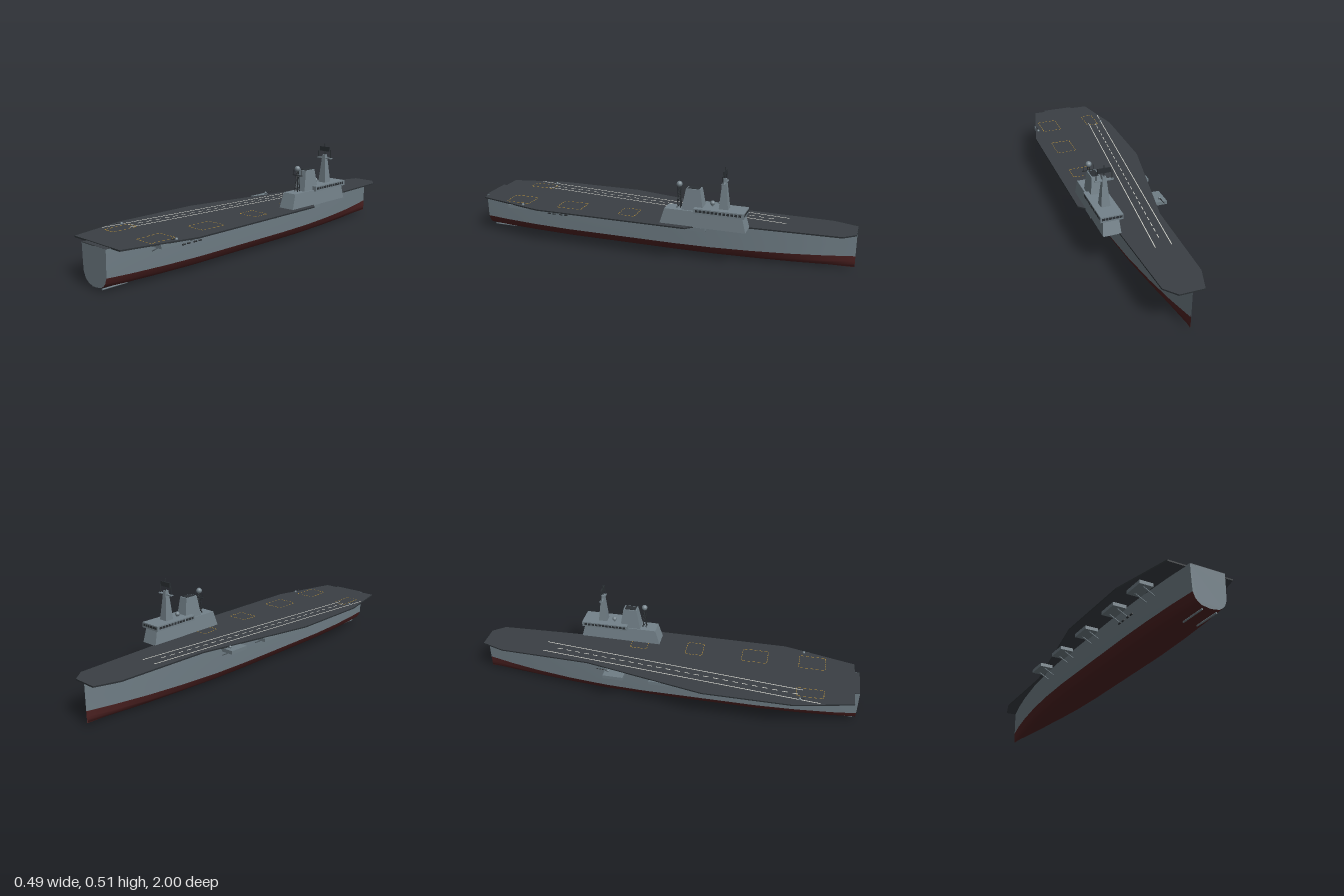
import * as THREE from 'three';

const mat = (name, color, side = THREE.FrontSide) => {
  const m = new THREE.MeshStandardMaterial({ color, side });
  m.name = name;
  return m;
};

export function createModel() {
  const ship = new THREE.Group();
  ship.name = 'carrierShip';
  const grey = mat('hullGrey', 0x6f7d85, THREE.DoubleSide);
  const red = mat('antifoulingRed', 0x4e2222, THREE.DoubleSide);
  const deckMat = mat('deckGrey', 0x3a3f44);
  const tower = mat('islandGrey', 0x74828a);
  const dark = mat('darkFittings', 0x2b3034);
  const white = mat('whitePaint', 0xd8d8d0);
  const yellow = mat('yellowPaint', 0xb8903a);

  const add = (name, geo, m, parent = ship) => {
    const mesh = new THREE.Mesh(geo, m);
    mesh.name = name;
    parent.add(mesh);
    return mesh;
  };
  const box = (name, m, x0, x1, y0, y1, z0, z1, parent) => {
    const g = new THREE.BoxGeometry(x1 - x0, y1 - y0, z1 - z0);
    g.translate((x0 + x1) / 2, (y0 + y1) / 2, (z0 + z1) / 2);
    return add(name, g, m, parent);
  };
  // Box whose top rectangle differs from its bottom; rectangles are [x0, x1, z0, z1]
  const taper = (name, m, y0, y1, b, t, parent) => {
    const g = new THREE.BoxGeometry(1, 1, 1).toNonIndexed();
    const p = g.attributes.position;
    for (let i = 0; i < p.count; i++) {
      const up = p.getY(i) > 0, r = up ? t : b;
      p.setXYZ(i, p.getX(i) < 0 ? r[0] : r[1], up ? y1 : y0, p.getZ(i) < 0 ? r[2] : r[3]);
    }
    g.computeVertexNormals();
    return add(name, g, m, parent);
  };
  const rod = (name, m, a, b, r, parent) => {
    const A = new THREE.Vector3(...a), d = new THREE.Vector3(...b).sub(A);
    const mesh = add(name, new THREE.CylinderGeometry(r, r, d.length(), 8), m, parent);
    mesh.position.copy(A).addScaledVector(d, 0.5);
    mesh.quaternion.setFromUnitVectors(new THREE.Vector3(0, 1, 0), d.normalize());
    return mesh;
  };
  const ball = (name, m, x, y, z, r, parent) =>
    add(name, new THREE.SphereGeometry(r, 16, 12), m, parent).position.set(x, y, z);

  // Hull: stations of [z, half breadth, keel rise]
  const stations = [[1, 0.088, 0.011], [0.88, 0.102, 0.007], [0.7, 0.115, 0.003], [0.5, 0.122, 0], [0.2, 0.122, 0],
    [-0.1, 0.122, 0], [-0.3, 0.114, 0], [-0.5, 0.096, 0.002], [-0.7, 0.067, 0.004], [-0.86, 0.036, 0.007], [-1, 0.002, 0.01]];
  const side = [[1, 0.199], [0.985, 0.13], [0.955, 0.063]];
  const bilge = [[0.955, 0.063], [0.83, 0.034], [0.7, 0.021], [0.48, 0.008], [0, 0.001]];
  const point = ([z, w, k], [u, y], s) => [s * u * w, y + k * (1 - y / 0.199), z];
  const strip = (name, m, profile, s) => {
    const pos = [], idx = [], n = profile.length;
    for (const st of stations) for (const pr of profile) pos.push(...point(st, pr, s));
    for (let i = 0; i < stations.length - 1; i++) for (let j = 0; j < n - 1; j++) {
      const a = i * n + j, b = a + 1, c = a + n, d = c + 1;
      if (s > 0) idx.push(a, b, c, b, d, c);
      else idx.push(a, c, b, b, c, d);
    }
    const g = new THREE.BufferGeometry();
    g.setAttribute('position', new THREE.Float32BufferAttribute(pos, 3));
    g.setIndex(idx);
    // Winding is turned outward when the first face looks toward the centreline
    g.computeVertexNormals();
    if (g.attributes.normal.getX(n) * s < 0) {
      g.setIndex(idx.map((v, i) => idx[i % 3 === 1 ? i + 1 : i % 3 === 2 ? i - 1 : i]));
      g.computeVertexNormals();
    }
    add(name, g, m);
  };
  for (const s of [1, -1]) {
    strip('hullSide', grey, side, s);
    strip('hullBottom', red, bilge, s);
  }
  const outline = [...side, ...bilge.slice(1)].map(p => point(stations[0], p, 1));
  const transom = new THREE.Shape([...outline.map(p => new THREE.Vector2(p[0], p[1])),
    ...outline.slice(0, -1).reverse().map(p => new THREE.Vector2(-p[0], p[1]))]);
  add('transom', new THREE.ShapeGeometry(transom), grey).position.z = 1;
  for (const x of [-0.035, 0.035]) rod('shaft', grey, [x, 0.008, 0.86], [x, 0.008, 0.99], 0.004);

  // Flight deck
  const edge = [[-0.06, -1], [0.06, -1], [0.11, -0.94], [0.14, -0.24], [0.2, -0.24], [0.24, -0.2], [0.24, 0.61], [0.15, 0.975],
    [-0.18, 0.975], [-0.245, 0.68], [-0.245, 0.23], [-0.115, -0.4], [-0.1, -0.88]];
  const deckShape = new THREE.Shape(edge.map(([x, z]) => new THREE.Vector2(x, -z)));
  const deckGeo = new THREE.ExtrudeGeometry(deckShape, { depth: 0.007, bevelEnabled: false });
  deckGeo.rotateX(-Math.PI / 2);
  add('flightDeck', deckGeo, [deckMat, dark]).position.y = 0.196;
  box('sternLedge', deckMat, -0.087, 0.087, 0.196, 0.2, 0.96, 1);

  // Painted lines between two deck points, optionally dashed
  const paint = (name, m, x0, z0, x1, z1, w, dashes = 1, fill = 0.55) => {
    const len = Math.hypot(x1 - x0, z1 - z0);
    for (let i = 0; i < dashes; i++) {
      const t = (i + 0.5) / dashes;
      const g = new THREE.BoxGeometry(w, 0.001, (len / dashes) * (dashes > 1 ? fill : 1));
      const line = add(name, g, m);
      line.position.set(x0 + (x1 - x0) * t, 0.2035, z0 + (z1 - z0) * t);
      line.rotation.y = Math.atan2(x1 - x0, z1 - z0);
    }
  };
  paint('runwayEdge', white, -0.06, -0.66, -0.208, 0.81, 0.004);
  paint('runwayEdge', white, 0.02, -0.66, -0.12, 0.72, 0.004);
  paint('runwayCentre', white, -0.025, -0.6, -0.158, 0.71, 0.004, 26);
  for (const [x0, x1, z0, z1] of [[0.065, 0.17, -0.21, -0.12], [0.065, 0.17, 0.09, 0.18], [0.065, 0.17, 0.39, 0.525],
    [0.065, 0.17, 0.69, 0.825], [-0.17, -0.105, 0.69, 0.825]]) {
    for (const x of [x0, x1]) paint('deckSpot', yellow, x, z0, x, z1, 0.003, 5);
    for (const z of [z0, z1]) paint('deckSpot', yellow, x0, z, x1, z, 0.003, 5);
  }

  // Side sponsons with struts, and rafts along the hull
  for (const s of [1, -1]) {
    for (const z of [0.745, 0.525, 0.262, 0.003, -0.238]) {
      const sponson = new THREE.Group();
      sponson.name = 'sponson';
      ship.add(sponson);
      const [xa, xb] = s > 0 ? [0.135, 0.203] : [-0.2, -0.132];
      box('platform', grey, xa, xb, 0.179, 0.197, z - 0.053, z + 0.053, sponson);
      for (const d of [-0.033, 0.033])
        rod('strut', tower, [s * 0.17, 0.18, z + d], [s * 0.115, 0.15, z + d], 0.003, sponson);
    }
    for (const z of [0.6, 0.57, 0.53, 0.5])
      rod('raft', dark, [s * 0.121, 0.143, z - 0.009], [s * 0.121, 0.143, z + 0.009], 0.004);
  }
  for (const [x, z] of [[-0.168, -0.27], [-0.195, 0.71], [0.2, 0.71]]) {
    const gun = new THREE.Group();
    gun.name = 'gunMount';
    ship.add(gun);
    ball('turret', tower, x, 0.206, z, 0.007, gun);
    rod('barrel', dark, [x, 0.208, z], [x, 0.212, z + (z < 0 ? -0.06 : 0.03)], 0.002, gun);
  }

  // Island: base block, bridge and windows
  const island = new THREE.Group();
  island.name = 'island';
  ship.add(island);
  taper('islandBase', tower, 0.2, 0.28, [0.12, 0.21, -0.495, -0.06], [0.127, 0.205, -0.475, -0.085], island);
  box('bridge', tower, 0.109, 0.22, 0.273, 0.3, -0.488, -0.237, island);
  for (let i = 0; i < 12; i++) {
    const z = -0.475 + i * 0.0195;
    for (const x of [0.109, 0.22]) box('bridgeWindow', dark, x - 0.001, x + 0.001, 0.282, 0.294, z, z + 0.014, island);
  }
  for (let i = 0; i < 6; i++) {
    const x = 0.115 + i * 0.017;
    box('bridgeWindow', dark, x, x + 0.013, 0.282, 0.294, -0.489, -0.487, island);
  }

  // Funnel
  taper('funnel', tower, 0.28, 0.387, [0.132, 0.196, -0.28, -0.17], [0.141, 0.187, -0.262, -0.19], island);
  box('funnelMouth', dark, 0.147, 0.181, 0.386, 0.389, -0.255, -0.197, island);

  // Main mast with yard, poles and radar panel
  taper('mainMast', tower, 0.3, 0.45, [0.141, 0.187, -0.402, -0.356], [0.156, 0.173, -0.386, -0.368], island);
  box('mainYard', tower, 0.118, 0.211, 0.428, 0.433, -0.386, -0.37, island);
  for (const x of [0.126, 0.203]) rod('aerial', dark, [x, 0.43, -0.378], [x, 0.477, -0.378], 0.0025, island);
  rod('radarPost', dark, [0.1645, 0.45, -0.378], [0.1645, 0.508, -0.378], 0.0025, island);
  box('radarPanel', dark, 0.132, 0.196, 0.468, 0.492, -0.381, -0.375, island);

  // Lattice mast with dome and yard
  const leg = (i, t) => {
    const h = 0.013 - 0.007 * t, a = (i + 0.5) * Math.PI / 2;
    return [0.164 + Math.cos(a) * h, 0.28 + 0.11 * t, -0.15 + Math.sin(a) * h];
  };
  for (let i = 0; i < 4; i++) {
    rod('latticeLeg', dark, leg(i, 0), leg(i, 1), 0.0018, island);
    for (let k = 0; k < 4; k++) rod('latticeBrace', dark, leg(i, k / 4), leg(i + 1, (k + 1) / 4), 0.0012, island);
  }
  ball('mastDome', tower, 0.164, 0.4, -0.15, 0.015, island);
  box('latticeYard', dark, 0.134, 0.195, 0.363, 0.367, -0.153, -0.147, island);
  for (const x of [0.14, 0.189]) rod('aerial', dark, [x, 0.365, -0.15], [x, 0.393, -0.15], 0.0015, island);
  rod('domePost', tower, [0.152, 0.3, -0.316], [0.152, 0.315, -0.316], 0.005, island);
  ball('bridgeDome', tower, 0.152, 0.316, -0.316, 0.012, island);
  return ship;
}
